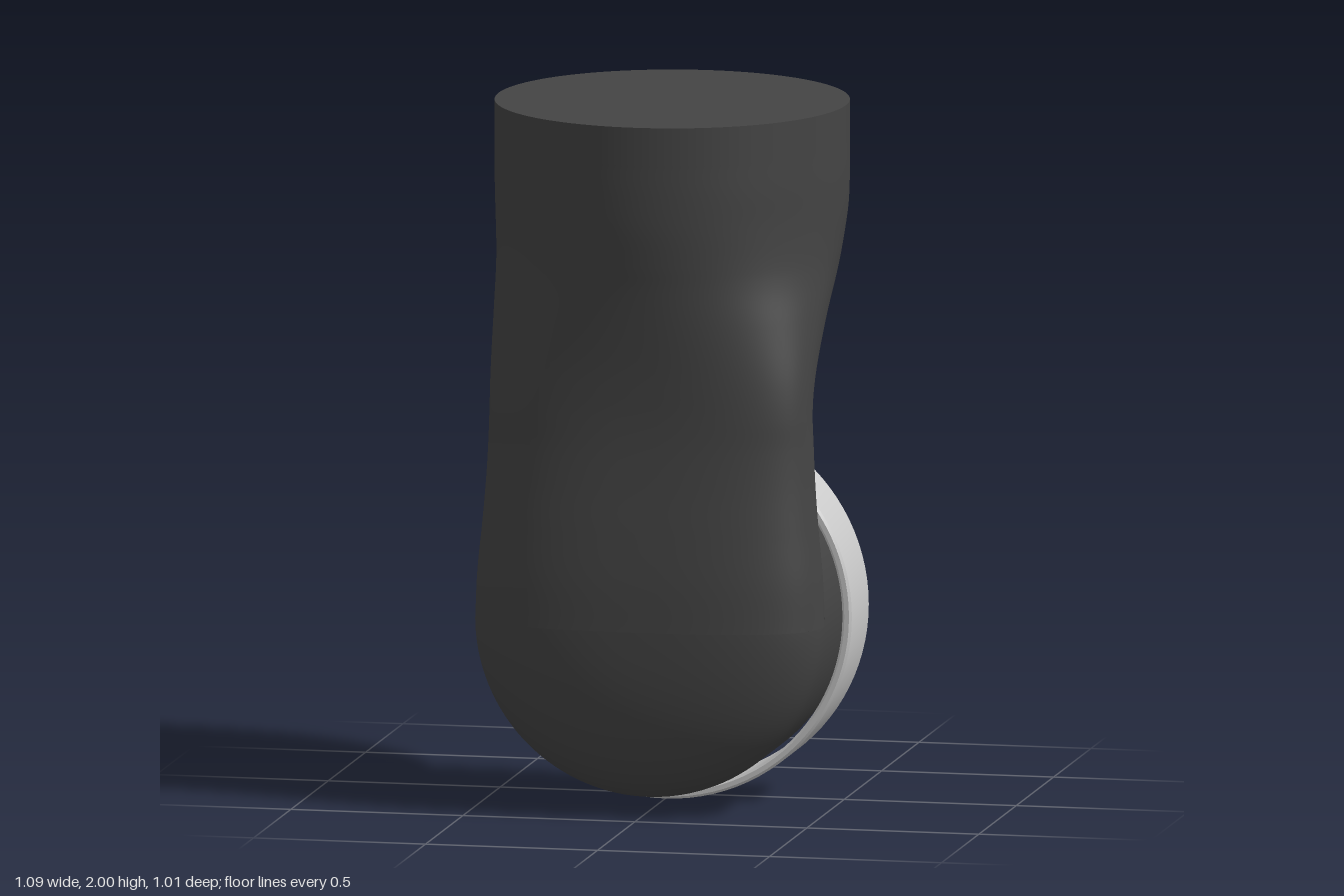
import * as THREE from 'three';
import { toCreasedNormals } from 'three/addons/utils/BufferGeometryUtils.js';

const R = 0.505;        // radius of both joint faces
const AXIS_Y = 0.545;   // height of the lower joint axis
const DOME_Z = 0.28, DOME_DEPTH = 0.225, DOME_N = 2.6;

// Rows: y, half width, front z, widest z, back z, front roundness, back roundness
const SECTIONS = [
  [0.545, 0.505, 0.505, 0.28, 0.25, 2.6, 2.4],
  [0.68, 0.499, 0.5, 0.28, 0.23, 2.6, 2.4],
  [0.82, 0.485, 0.489, 0.28, 0.19, 2.6, 2.5],
  [0.95, 0.474, 0.477, 0.28, 0.15, 2.6, 2.6],
  [1.06, 0.468, 0.469, 0.28, 0.135, 2.6, 2.7],
  [1.15, 0.465, 0.466, 0.28, 0.145, 2.6, 2.8],
  [1.23, 0.466, 0.467, 0.265, 0.1, 2.5, 2.7],
  [1.31, 0.469, 0.47, 0.23, -0.02, 2.4, 2.5],
  [1.42, 0.476, 0.477, 0.16, -0.2, 2.25, 2.3],
  [1.525, 0.485, 0.485, 0.08, -0.41, 2.12, 2.1],
  [1.6, 0.493, 0.493, 0.035, -0.46, 2.05, 2],
  [1.7, 0.502, 0.502, 0.005, -0.496, 2, 2],
  [1.8, R, R, 0, -R, 2, 2],
  [1.89, R, R, 0, -R, 2, 2],
];

const power = (v, n) => Math.sign(v) * Math.abs(v) ** (2 / n);

// Skin through smoothly interpolated horizontal sections
function loft(rows, rings, sides) {
  const size = rows[0].length;
  const spline = new THREE.CubicInterpolant(rows.map((_, i) => i), rows.flat(), size, new Array(size));
  const positions = [], index = [];
  for (let j = 0; j <= rings; j++) {
    const [y, w, front, mid, back, nf, nb] = spline.evaluate((j / rings) * (rows.length - 1));
    for (let i = 0; i < sides; i++) {
      const a = (i / sides) * Math.PI * 2, s = Math.sin(a);
      const n = s >= 0 ? nf : nb, depth = s >= 0 ? front - mid : mid - back;
      positions.push(w * power(Math.cos(a), n), y, mid + depth * power(s, n));
      if (j < rings) {
        const p = j * sides + i, q = j * sides + (i + 1) % sides;
        index.push(p, p + sides, q, q, p + sides, q + sides);
      }
    }
  }
  const geo = new THREE.BufferGeometry();
  geo.setAttribute('position', new THREE.Float32BufferAttribute(positions, 3));
  geo.setIndex(index);
  geo.computeVertexNormals();
  return geo;
}

// Turned part whose axis runs along z; profile points are [radius, z]
function turnedZ(profile, start = 0, length = Math.PI * 2) {
  const points = profile.map(([r, z]) => new THREE.Vector2(r, z));
  return new THREE.LatheGeometry(points, 96, start, length).rotateX(Math.PI / 2);
}

export function createModel() {
  const group = new THREE.Group();
  const dark = new THREE.MeshStandardMaterial({ color: 0x444444 });
  const grey = new THREE.MeshStandardMaterial({ color: 0xcccccc });
  const add = (name, geo, mat, y = 0) => {
    const mesh = new THREE.Mesh(geo, mat);
    mesh.name = name;
    mesh.position.y = y;
    group.add(mesh);
  };

  // Arm shell sweeping from the front of the lower joint back under the upper one
  add('armShell', loft(SECTIONS, 90, 96), dark);

  // Rounded lower front: half a dome that meets the first section of the shell
  const dome = [];
  for (let i = 0; i <= 32; i++) {
    const a = (i / 32) * Math.PI / 2;
    dome.push([R * power(Math.cos(a), DOME_N), DOME_Z + DOME_DEPTH * power(Math.sin(a), DOME_N)]);
  }
  dome[32][0] = 0;
  add('lowerDome', turnedZ(dome, -Math.PI / 2, Math.PI), dark, AXIS_Y);

  // Lower joint barrel with its flat back face
  const back = -0.04;
  const barrel = new THREE.CylinderGeometry(R, R, DOME_Z - back, 96).rotateX(Math.PI / 2);
  add('lowerJointBarrel', barrel.translate(0, 0, (DOME_Z + back) / 2), dark, AXIS_Y);

  // Upper joint cap
  add('upperJointCap', new THREE.CylinderGeometry(R, R, 0.11, 96), dark, 1.945);

  // Loose grey ring around the lower joint, with slightly bevelled rims
  const outer = 0.5425, inner = 0.515, z0 = -0.14, z1 = 0.1, b = 0.007;
  const ring = turnedZ([
    [inner + b, z0], [outer - b, z0], [outer, z0 + b], [outer, z1 - b], [outer - b, z1],
    [inner + b, z1], [inner, z1 - b], [inner, z0 + b], [inner + b, z0],
  ]);
  add('jointRing', toCreasedNormals(ring, 0.5), grey, outer);

  return group;
}
